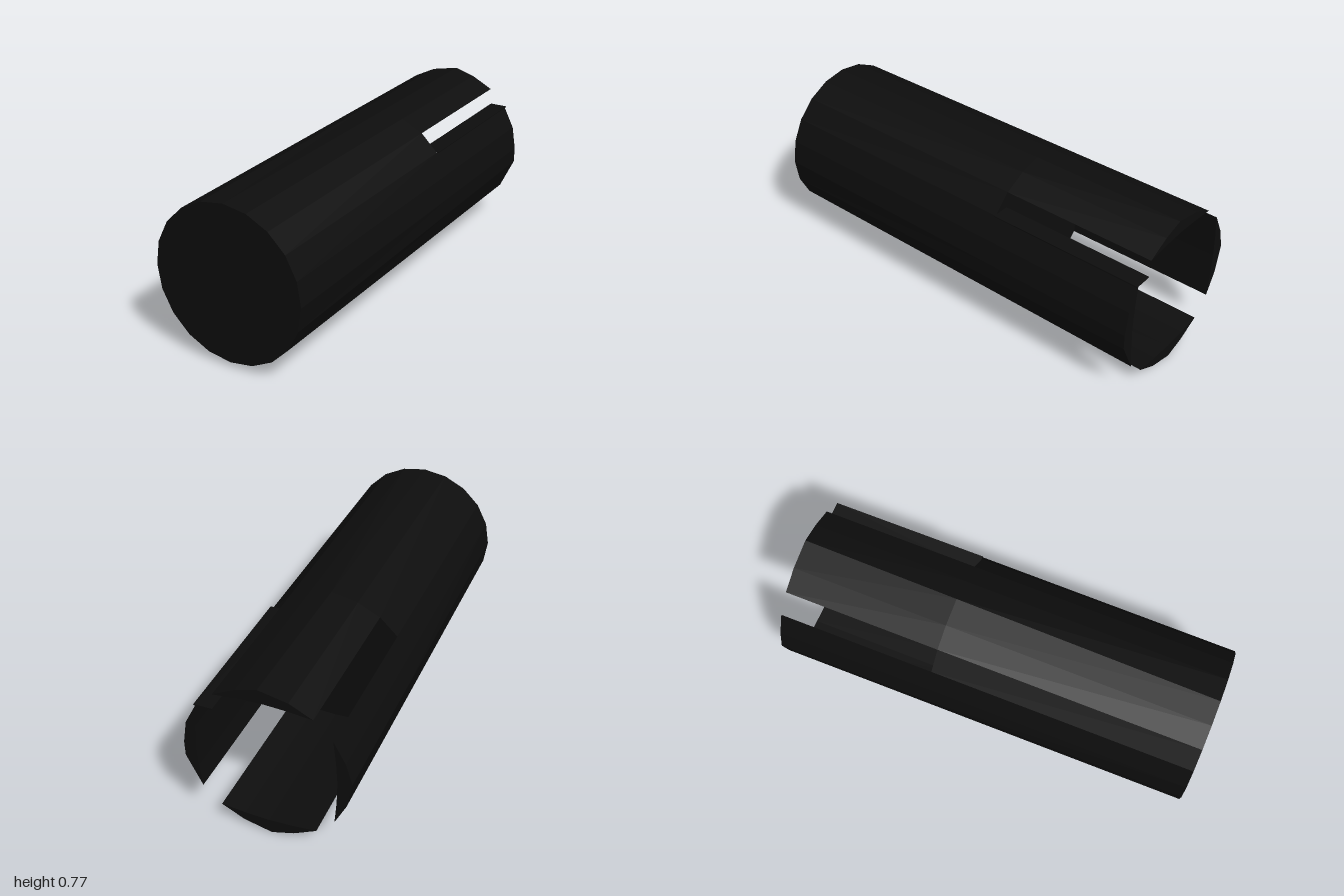
import * as THREE from 'three';

const FRONT = 1, SLOT = -0.25, BACK = -1;
const CX = 0.003, CY = 0.389;

// Outer 20-sided section: round at the front, flaring slightly with four raised corners at the back
const BUMPS = { 0: [0.376, 0.003], 19: [0.375, -0.07], 5: [0.018, 0.386], 10: [-0.385, 0.015], 15: [-0.012, -0.389] };
function outerPoint(i, z) {
  const k = ((i % 20) + 20) % 20;
  const a = (k * Math.PI) / 10;
  const t = (FRONT - z) / 2;
  const [bx, by] = BUMPS[k] ?? [0.376 * Math.cos(a), 0.376 * Math.sin(a)];
  return new THREE.Vector2(
    CX + THREE.MathUtils.lerp(0.367 * Math.cos(a), bx, t),
    CY + THREE.MathUtils.lerp(0.367 * Math.sin(a), by, t));
}

// Side walls between two matching counter-clockwise sections, za in front of zb
function loft(ringA, za, ringB, zb) {
  const pos = [];
  ringA.forEach((a, i) => {
    const j = (i + 1) % ringA.length;
    const a2 = ringA[j], b = ringB[i], b2 = ringB[j];
    pos.push(a.x, a.y, za, b.x, b.y, zb, b2.x, b2.y, zb);
    pos.push(a.x, a.y, za, b2.x, b2.y, zb, a2.x, a2.y, za);
  });
  const g = new THREE.BufferGeometry();
  g.setAttribute('position', new THREE.Float32BufferAttribute(pos, 3));
  g.computeVertexNormals();
  return g;
}

// Flat end face, turned to the back when facing is -1
function cap(points, z, facing) {
  const g = new THREE.ShapeGeometry(new THREE.Shape(points));
  if (facing < 0) {
    const idx = g.index.array;
    for (let i = 0; i < idx.length; i += 3) [idx[i], idx[i + 1]] = [idx[i + 1], idx[i]];
    g.computeVertexNormals();
  }
  return g.translate(0, 0, z);
}

export function createModel() {
  const model = new THREE.Group();
  model.name = 'slottedTube';
  const black = new THREE.MeshStandardMaterial({ color: 0x0d0d0d, flatShading: true, side: THREE.DoubleSide });
  black.name = 'black';
  const add = (name, geometry, parent = model) => {
    const mesh = new THREE.Mesh(geometry, black);
    mesh.name = name;
    parent.add(mesh);
  };

  // Closed front body
  const section = (z) => Array.from({ length: 20 }, (_, i) => outerPoint(i, z));
  add('bodyWall', loft(section(FRONT), FRONT, section(SLOT), SLOT));
  add('frontFace', cap(section(FRONT), FRONT, 1));
  add('cavityFloor', cap(section(SLOT), SLOT, -1));

  // Four prongs with open slots on the diagonals
  const names = ['leftProng', 'topProng', 'rightProng', 'bottomProng'];
  names.forEach((name, q) => {
    const prong = new THREE.Group();
    prong.name = name;
    model.add(prong);
    const ring = (z) => {
      const pts = [];
      for (let i = -2; i <= 2; i++) pts.push(outerPoint(q * 5 + i, z));
      // shallow inner face, running back from one slot edge to the other
      for (const [r, side] of [[0.315, 0.11], [0.32, 0], [0.315, -0.11]]) {
        const p = new THREE.Vector2(r, side).rotateAround(new THREE.Vector2(), (q * Math.PI) / 2);
        pts.push(p.add(new THREE.Vector2(CX, CY)));
      }
      return pts;
    };
    add(name + 'Walls', loft(ring(SLOT), SLOT, ring(BACK), BACK), prong);
    add(name + 'Rim', cap(ring(BACK), BACK, -1), prong);
  });

  // Thin ledge along the lower edge of the upper left slot
  const ledge = new THREE.BoxGeometry(0.085, 0.005, SLOT - BACK);
  add('slotLedge', ledge.translate(0.273, 0.612, (SLOT + BACK) / 2));

  return model;
}
